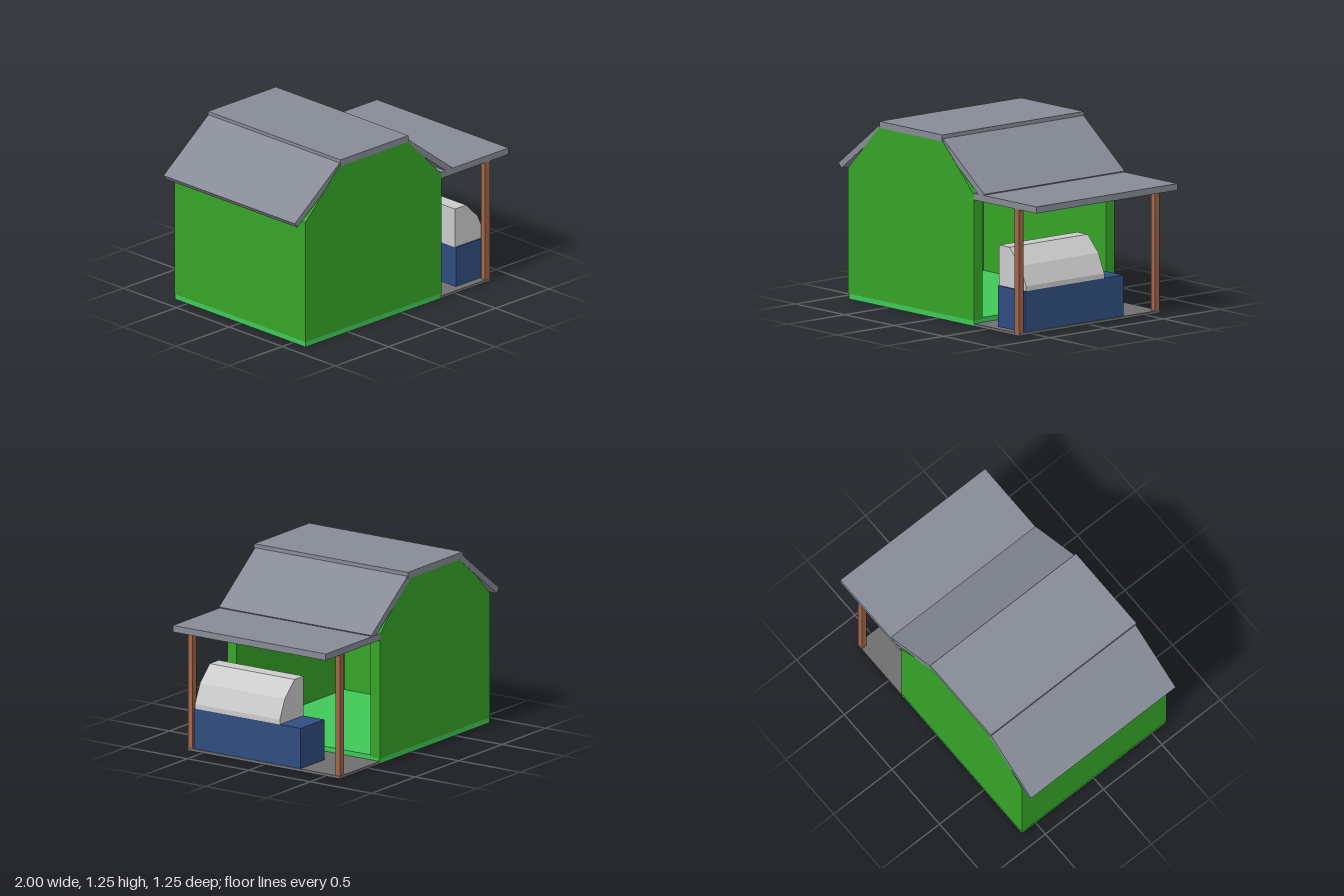
import * as THREE from 'three';

export function createModel() {
  const root = new THREE.Group();
  root.name = 'shedWithPorch';
  const mat = (color) => new THREE.MeshStandardMaterial({ color, flatShading: true });
  const green = mat(0x36a428), lightGreen = mat(0x40c858), roofGrey = mat(0x868b96);
  const brown = mat(0xa0664a), blue = mat(0x304d80), grey = mat(0xcccccc), darkGrey = mat(0x6e6e6e);

  const add = (name, geometry, material) => {
    const mesh = new THREE.Mesh(geometry, material);
    mesh.name = name;
    root.add(mesh);
    return mesh;
  };
  // Box given by its lower and upper corners
  const box = (name, material, [x0, y0, z0], [x1, y1, z1]) =>
    add(name, new THREE.BoxGeometry(x1 - x0, y1 - y0, z1 - z0)
      .translate((x0 + x1) / 2, (y0 + y1) / 2, (z0 + z1) / 2), material);
  // Profile in x and y, drawn out from z0 to z1
  const prism = (name, material, points, z0, z1) => {
    const shape = new THREE.Shape(points.map(([x, y]) => new THREE.Vector2(x, y)));
    const geometry = new THREE.ExtrudeGeometry(shape, { depth: z1 - z0, bevelEnabled: false });
    return add(name, geometry.translate(0, 0, z0), material);
  };

  // House: floor slab, gambrel end walls and one closed side
  const mid = -0.265;
  box('houseFloor', lightGreen, [-0.897, 0, -0.617], [0.367, 0.05, 0.617]);
  const gable = [[-0.9, 0.037], [0.37, 0.037], [0.37, 0.89], [0.055, 1.207], [-0.585, 1.207], [-0.9, 0.89]];
  prism('frontWall', green, gable, 0.545, 0.62);
  prism('backWall', green, gable, -0.62, -0.545);
  box('closedSideWall', green, [-0.9, 0.037, -0.546], [-0.87, 0.89, 0.546]);

  // Roof: flat top and a sloping panel on each side
  box('roofTop', roofGrey, [-0.58, 1.205, -0.625], [0.055, 1.25, 0.625]);
  for (const s of [-1, 1]) {
    const panel = [[0.285, 1.25], [0.26, 1.217], [0.709, 0.874], [0.735, 0.908]]
      .map(([x, y]) => [mid + s * x, y]);
    prism(s < 0 ? 'rightRoofSlope' : 'leftRoofSlope', roofGrey, panel, -0.622, 0.618);
  }

  // Porch
  box('porchRoof', roofGrey, [0.37, 0.855, -0.625], [1, 0.9, 0.618]);
  box('porchFloor', darkGrey, [0.37, 0, -0.62], [0.83, 0.018, 0.62]);
  for (const s of [-1, 1]) {
    const z = s * 0.6;
    box(s > 0 ? 'frontPost' : 'backPost', brown, [0.78, 0.018, z - 0.018], [0.825, 0.855, z + 0.018]);
  }

  // Chest on the porch with a faceted block on top
  box('chest', blue, [0.555, 0.02, -0.3], [0.828, 0.297, 0.57]);
  prism('chestTopBlock', grey,
    [[0.555, 0.297], [0.828, 0.297], [0.828, 0.33], [0.77, 0.46], [0.66, 0.57], [0.555, 0.57]], -0.13, 0.56);

  return root;
}
